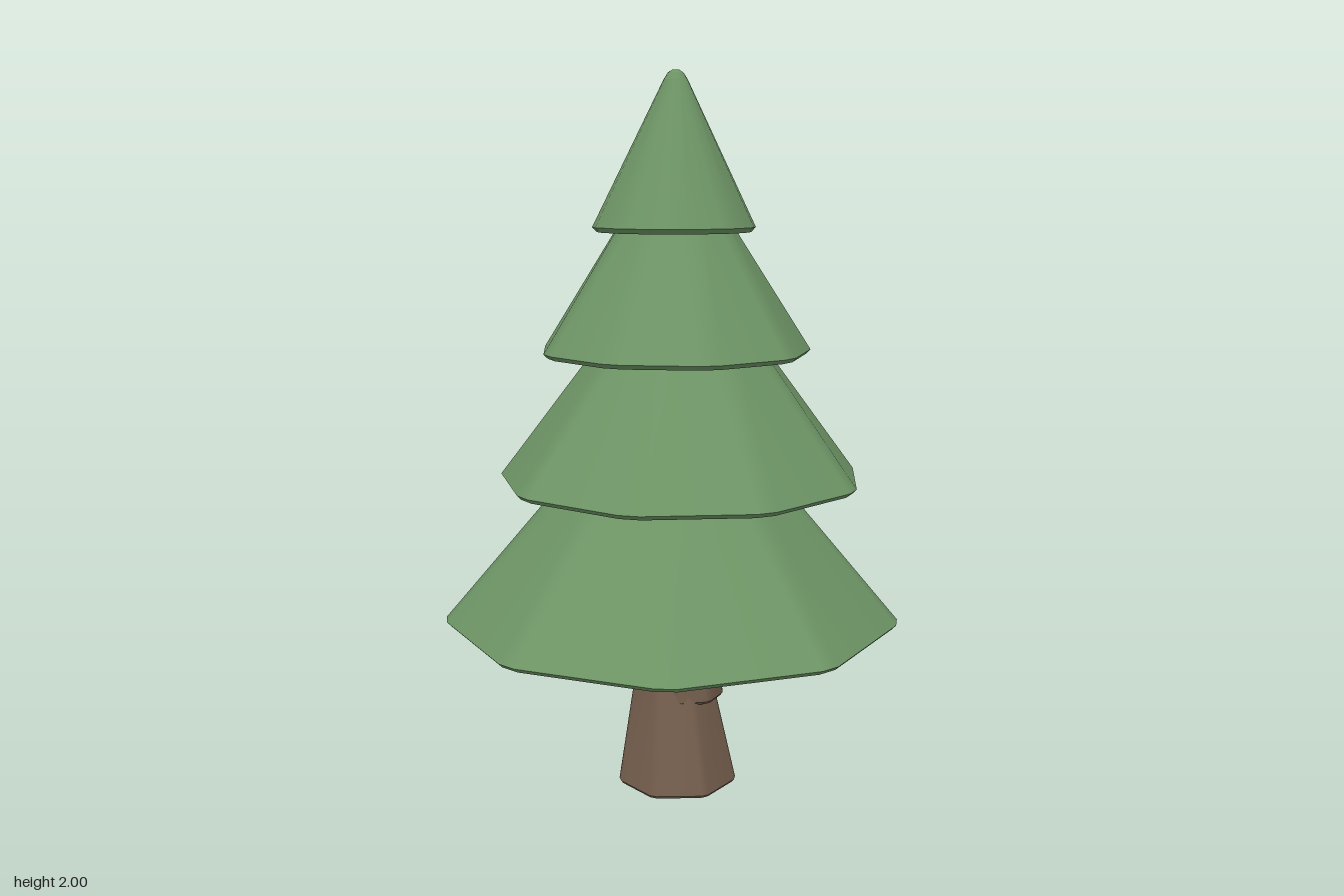
import * as THREE from 'three';
import { mergeGeometries } from 'three/addons/utils/BufferGeometryUtils.js';

// Points of a horizontal polygon whose corners are cut by a small bevel
function ringPoints([r, y, cx, cz], sides, angle, bevel) {
  const corner = (k) => {
    const a = angle + (k / sides) * Math.PI * 2;
    return new THREE.Vector3(cx + r * Math.cos(a), y, cz + r * Math.sin(a));
  };
  const edge = 2 * r * Math.sin(Math.PI / sides);
  const t = edge > 0 ? Math.min(bevel / edge, 0.3) : 0;
  const points = [];
  for (let k = 0; k < sides; k++) {
    points.push(corner(k).lerp(corner(k - 1), t), corner(k).lerp(corner(k + 1), t));
  }
  return points;
}

// Joins rings [radius, y, x, z] from bottom to top; each band keeps its own normals
function bevelledStack(rings, sides, degrees, bevel) {
  const angle = THREE.MathUtils.degToRad(degrees);
  const loops = rings.map((ring) => ringPoints(ring, sides, angle, bevel));
  const n = sides * 2;
  const bands = [];
  for (let b = 0; b < loops.length - 1; b++) {
    const band = new THREE.BufferGeometry().setFromPoints([...loops[b], ...loops[b + 1]]);
    const index = [];
    for (let i = 0; i < n; i++) {
      const j = (i + 1) % n;
      if (rings[b][0] > 0) index.push(i, n + i, j);
      if (rings[b + 1][0] > 0) index.push(j, n + i, n + j);
      else if (rings[b][0] === 0) continue;
    }
    band.setIndex(index);
    band.computeVertexNormals();
    bands.push(band);
  }
  return mergeGeometries(bands);
}

export function createModel() {
  const model = new THREE.Group();
  model.name = 'pineTree';

  const green = new THREE.MeshStandardMaterial({ color: 0x6d9465 });
  green.name = 'needle green';
  const brown = new THREE.MeshStandardMaterial({ color: 0x755f4e });
  brown.name = 'bark brown';

  const add = (name, geometry, material) => {
    const mesh = new THREE.Mesh(geometry, material);
    mesh.name = name;
    model.add(mesh);
    return mesh;
  };

  // Trunk: a flared foot and a slightly offset upper stem
  add('trunkFoot', bevelledStack([
    [0, 0, 0.012, -0.01], [0.169, 0, 0.012, -0.01], [0.175, 0.008, 0.012, -0.01],
    [0.113, 0.327, 0.002, -0.003], [0.105, 0.335, 0.002, -0.003], [0, 0.335, 0.002, -0.003],
  ], 7, -125, 0.012), brown);
  add('trunkStem', bevelledStack([
    [0, 0.258, 0.04, -0.016], [0.103, 0.258, 0.04, -0.016], [0.109, 0.266, 0.04, -0.016],
    [0.1, 0.56, 0.034, -0.008], [0, 0.56, 0.034, -0.008],
  ], 7, 20, 0.012), brown);

  // Branch tiers: thin bevelled rim, flat underside, straight taper
  const tiers = [
    { name: 'bottomBranches', r: 0.645, y: 0.497, x: 0, z: 0, topR: 0.2, topY: 1.02, turn: 18 },
    { name: 'lowerBranches', r: 0.515, y: 0.89, x: 0.023, z: -0.01, topR: 0.16, topY: 1.37, turn: -88 },
    { name: 'upperBranches', r: 0.38, y: 1.247, x: 0.022, z: 0.018, topR: 0.1, topY: 1.69, turn: 3 },
  ];
  for (const { name, r, y, x, z, topR, topY, turn } of tiers) {
    add(name, bevelledStack([
      [0, y, x, z], [r - 0.012, y, x, z], [r, y + 0.012, x, z],
      [topR, topY, x, z], [0, topY, x, z],
    ], 9, turn, 0.03), green);
  }

  // Crown with a small rounded tip
  const [x, z] = [0.02, 0.021];
  add('crownBranches', bevelledStack([
    [0, 1.577, x, z], [0.217, 1.577, x, z], [0.229, 1.59, x, z],
    [0.034, 1.975, 0.025, z], [0.022, 1.993, 0.025, z], [0.01, 2, 0.025, z], [0, 2, 0.025, z],
  ], 9, 15, 0.03), green);

  return model;
}
